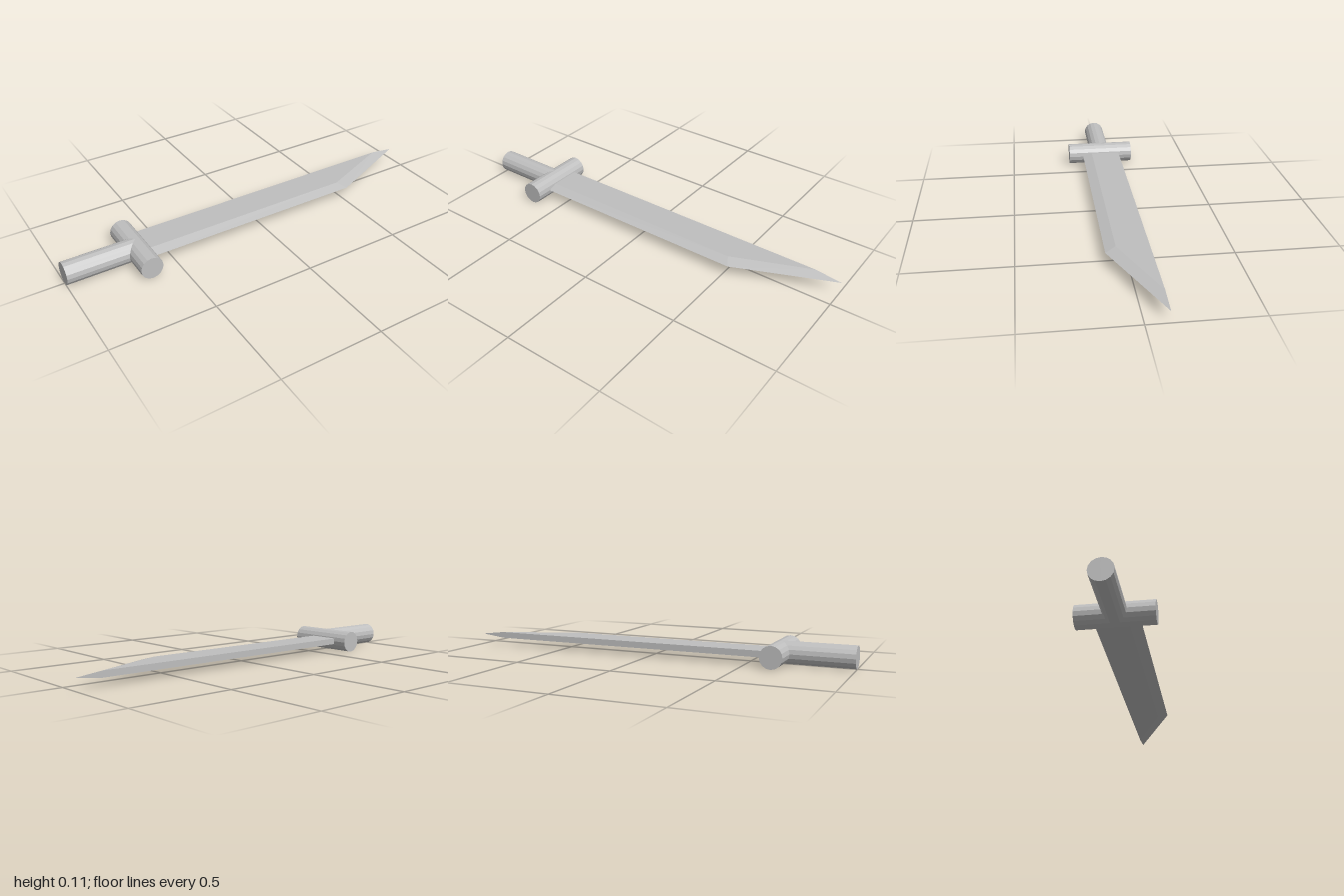
import * as THREE from 'three';

const MID = 0.055;      // height of the sword's axis
const HALF = 0.0155;    // half the blade thickness
const GUARD_X = -0.645;

export function createModel() {
  const group = new THREE.Group();
  const steel = new THREE.MeshStandardMaterial({ color: 0xbfbfbf });
  steel.name = 'grey';

  const add = (name, geometry) => {
    const flat = geometry.index ? geometry.toNonIndexed() : geometry;
    flat.computeVertexNormals();
    const mesh = new THREE.Mesh(flat, steel);
    mesh.name = name;
    group.add(mesh);
  };

  // Round grip along x and crossguard along z
  const gripLength = GUARD_X + 1;
  add('grip', new THREE.CylinderGeometry(MID, MID, gripLength, 16)
    .rotateZ(Math.PI / 2).translate(-1 + gripLength / 2, MID, 0));
  add('crossguard', new THREE.CylinderGeometry(MID, MID, 0.355, 16)
    .rotateX(Math.PI / 2).translate(GUARD_X, MID, 0));

  // Blade: flat faces, bevelled edge on +z and slanted tip, blunt back on -z
  const flatOutline = [[GUARD_X, 0.05], [0.495, 0.05], [0.87, -0.103], [GUARD_X, -0.103]];
  const at = (y) => flatOutline.map(([x, z]) => [x, y, z]);
  const [t0, t1, t2, t3] = at(MID + HALF);
  const [b0, b1, b2, b3] = at(MID - HALF);
  const edge = [GUARD_X, MID, 0.1];
  const corner = [0.525, MID, 0.1];
  const tip = [1, MID, -0.103];

  const positions = [];
  const face = (...p) => {
    for (let i = 1; i < p.length - 1; i++) positions.push(...p[0], ...p[i], ...p[i + 1]);
  };
  face(t0, t1, t2, t3);            // upper flat
  face(b3, b2, b1, b0);            // lower flat
  face(edge, corner, t1, t0);      // upper edge bevel
  face(b0, b1, corner, edge);      // lower edge bevel
  face(corner, tip, t2, t1);       // upper tip bevel
  face(b1, b2, tip, corner);       // lower tip bevel
  face(t3, t2, tip, b2, b3);       // back
  face(edge, t0, t3, b3, b0);      // root, inside the guard

  const blade = new THREE.BufferGeometry();
  blade.setAttribute('position', new THREE.Float32BufferAttribute(positions, 3));
  add('blade', blade);

  return group;
}
